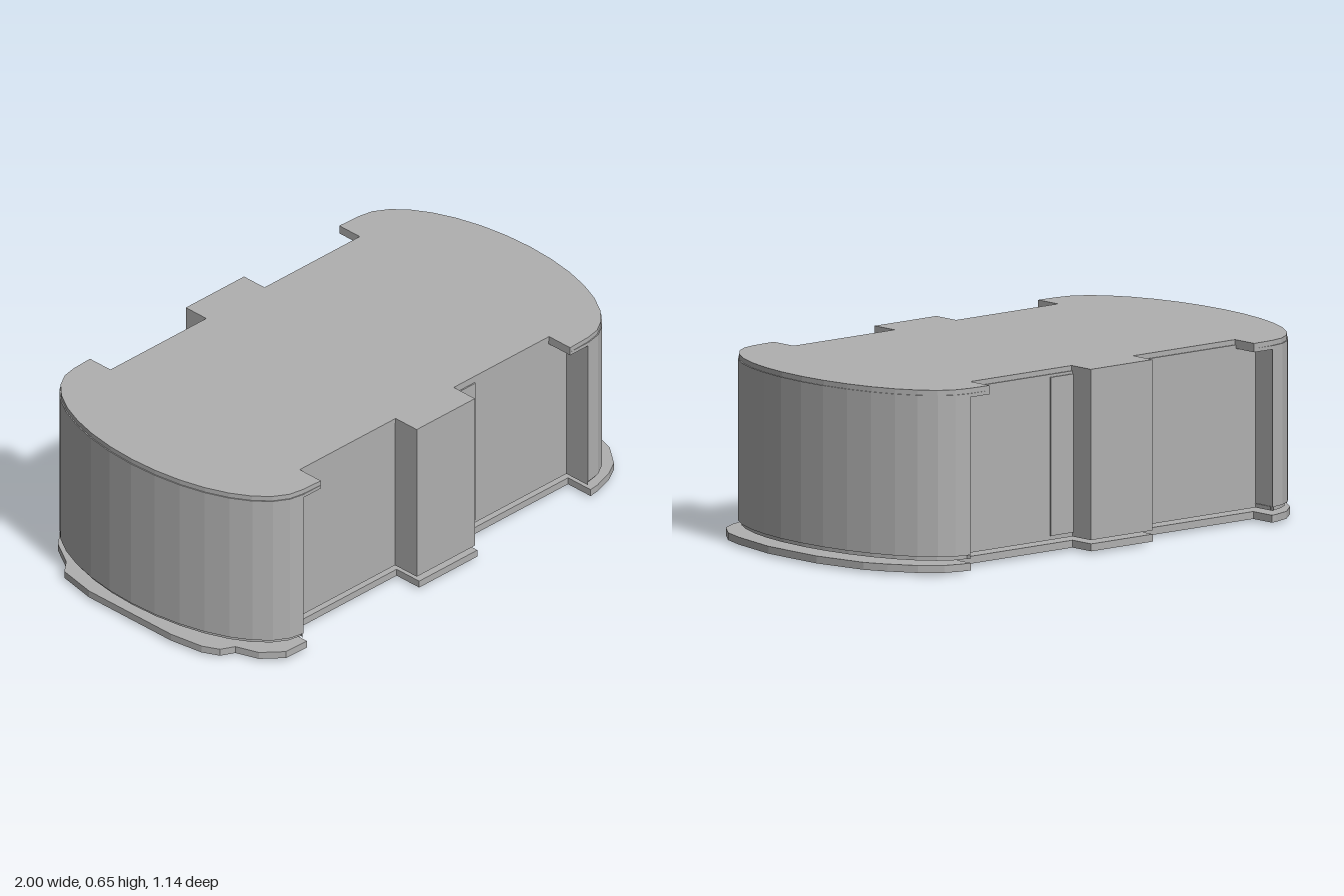
import * as THREE from 'three';

// Horizontal slab from an outline given as [x, z] points
function slab(name, points, bottom, top, material) {
  const shape = new THREE.Shape(points.map(([x, z]) => new THREE.Vector2(x, z)));
  const geometry = new THREE.ExtrudeGeometry(shape, { depth: top - bottom, bevelEnabled: false });
  geometry.rotateX(Math.PI / 2).translate(0, top, 0);
  const mesh = new THREE.Mesh(geometry, material);
  mesh.name = name;
  return mesh;
}

function block(name, x0, x1, y0, y1, z0, z1, material) {
  const mesh = new THREE.Mesh(new THREE.BoxGeometry(x1 - x0, y1 - y0, z1 - z0), material);
  mesh.position.set((x0 + x1) / 2, (y0 + y1) / 2, (z0 + z1) / 2);
  mesh.name = name;
  return mesh;
}

// Half-elliptical end, running from front to back on the +x side
function roundEnd(inset = 0, steps = 16) {
  const points = [];
  for (let i = 0; i <= steps; i++) {
    const a = Math.PI / 2 - (i / steps) * Math.PI;
    points.push([0.695 + (0.28 - inset) * Math.cos(a), -0.01 + (0.563 - inset) * Math.sin(a)]);
  }
  return points;
}

// Full plan: rounded ends, a notch on each side of the central pier
function plan(right, left, leftX, rightX, front, back, outer = [0.553, -0.573]) {
  const [f, b] = outer;
  return [
    [-0.15, f], [-0.15, front], [leftX, front], [leftX, f],
    ...left,
    [leftX, b], [leftX, back], [-0.15, back], [-0.15, b],
    [0.135, b], [0.135, back], [rightX, back], [rightX, b],
    ...[...right].reverse(),
    [rightX, f], [rightX, front], [0.135, front], [0.135, f],
  ];
}

export function createModel() {
  const model = new THREE.Group();
  const grey = new THREE.MeshStandardMaterial({ color: 0xb0b0b0 });
  grey.name = 'grey';
  const white = new THREE.MeshStandardMaterial({ color: 0xf4f4f4 });
  white.name = 'white';

  const mirrorEnd = (points) => points.map(([x, z]) => [-x - 0.01, z]);
  const end = roundEnd(), insetEnd = roundEnd(0.012);

  // Walls, with a slightly inset floor rim below
  model.add(slab('walls', plan(end, mirrorEnd(end), -0.71, 0.69, 0.447, -0.478), 0.063, 0.63, grey));
  model.add(slab('floorRim', plan(insetEnd, mirrorEnd(insetEnd), -0.71, 0.69, 0.447, -0.478), 0.048, 0.063, grey));

  // Roof with tabs reaching past the end walls
  const roofEnd = roundEnd(0.004);
  model.add(slab('roof', plan(roofEnd, mirrorEnd(roofEnd), -0.62, 0.602, 0.45, -0.473), 0.63, 0.648, grey));
  for (const [x0, x1] of [[-0.71, -0.62], [0.602, 0.69]]) {
    model.add(block('roofTab', x0, x1, 0.617, 0.63, 0.447, 0.553, grey));
    model.add(block('roofTab', x0, x1, 0.617, 0.63, -0.573, -0.478, grey));
  }

  // Shallow wall panels beside the pier
  model.add(block('frontPanel', 0.135, 0.24, 0.063, 0.62, 0.44, 0.452, grey));
  model.add(block('backPanel', 0.135, 0.24, 0.063, 0.62, -0.483, -0.47, grey));

  // Base plate with an irregular rounded edge
  const baseRight = [
    [0.73, 0.56], [0.81, 0.535], [0.87, 0.5], [0.93, 0.42], [0.96, 0.33], [1, 0.13],
    [1, -0.12], [0.96, -0.32], [0.92, -0.4], [0.86, -0.49], [0.79, -0.55], [0.73, -0.57],
  ];
  const baseLeft = [
    [-0.8, 0.562], [-0.87, 0.5], [-0.9, 0.415], [-0.95, 0.39], [-0.98, 0.33], [-1, 0.2],
    [-1, -0.2], [-0.97, -0.35], [-0.92, -0.39], [-0.86, -0.49], [-0.79, -0.55], [-0.72, -0.573],
  ];
  model.add(slab('basePlate', plan(baseRight, baseLeft, -0.7, 0.69, 0.455, -0.478, [0.565, -0.575]), 0.009, 0.035, grey));

  // Thin strips under the base, open towards the front
  model.add(block('backStrip', -0.6, 0.6, 0, 0.009, -0.385, -0.36, white));
  for (const x of [-0.6, 0.575]) {
    model.add(block('sideStrip', x, x + 0.025, 0, 0.009, -0.36, 0.38, white));
  }
  return model;
}
